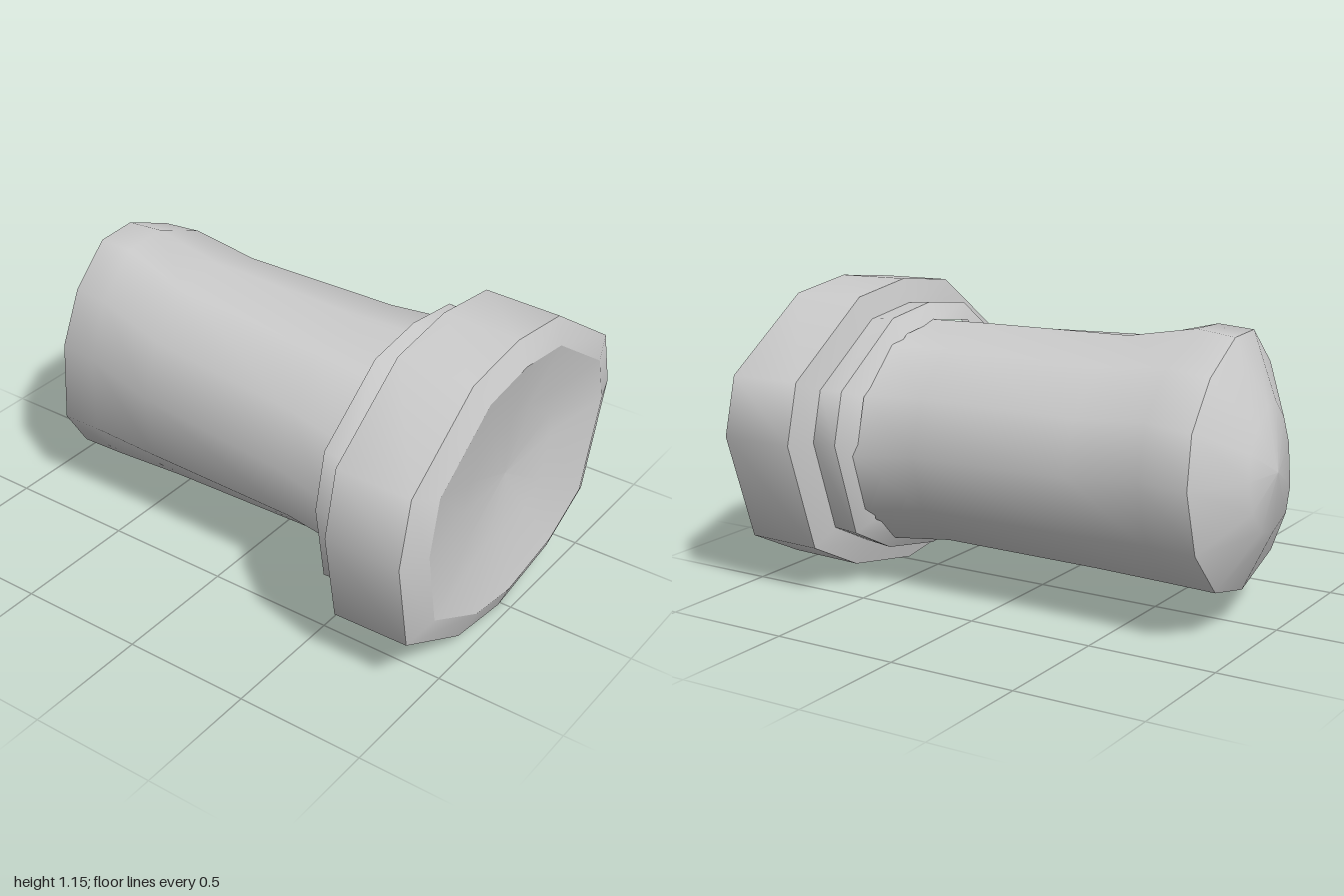
import * as THREE from 'three';

const SIDES = 12;
const material = new THREE.MeshStandardMaterial({ color: 0xcccccc });

// Irregular twelve-sided outline of the cap as [z, y], around its centre
const CAP_OUTLINE = [
  [0.02, 1.155], [0.31, 1.115], [0.67, 0.855], [0.73, 0.60], [0.665, 0.235], [0.31, 0.04],
  [0.025, 0.0], [-0.33, 0.065], [-0.585, 0.195], [-0.725, 0.625], [-0.665, 0.855], [-0.27, 1.12],
].map(([z, y]) => [z, y - 0.58]);

// Uneven outline of the shaft's far rim as [z, y], scaled to a unit circle
const RIM_OUTLINE = [
  [-0.01, 1.065], [0.17, 1.065], [0.33, 0.92], [0.42, 0.71], [0.42, 0.38], [0.30, 0.20],
  [0, 0.13], [-0.25, 0.19], [-0.42, 0.37], [-0.475, 0.61], [-0.42, 0.80], [-0.25, 0.96],
].map(([z, y]) => [(z + 0.0275) / 0.4475, (y - 0.6) / 0.47]);

// Cross-section following the cap outline
const capRing = (x, sz, sy = sz) =>
  CAP_OUTLINE.map(([z, y]) => [x, 0.58 + y * sy, z * sz]);

// Shaft cross-section from its extents: uneven 1 = rim outline, 0 = oval;
// tilted sections lean like the rounded end
function shaftRing(x, y0, y1, z0, z1, uneven, tilt = 0) {
  return RIM_OUTLINE.map(([rz, ry], i) => {
    const a = (i / SIDES) * Math.PI * 2;
    const s = THREE.MathUtils.lerp(Math.sin(a), rz, uneven);
    const c = THREE.MathUtils.lerp(Math.cos(a), ry, uneven);
    return [x + tilt * (s + 0.8 * c),
      (y0 + y1) / 2 + c * (y1 - y0) / 2,
      (z0 + z1) / 2 + s * (z1 - z0) / 2];
  });
}

const point = (x, y, z) => Array.from({ length: SIDES }, () => [x, y, z]);

// Skin over cross-sections ordered along +x; smooth within one skin
function loft(name, rings) {
  const index = [];
  for (let r = 0; r < rings.length - 1; r++) {
    for (let j = 0; j < SIDES; j++) {
      const a = r * SIDES + j, b = r * SIDES + (j + 1) % SIDES;
      index.push(a, b, b + SIDES, a, b + SIDES, a + SIDES);
    }
  }
  const g = new THREE.BufferGeometry();
  g.setAttribute('position', new THREE.Float32BufferAttribute(rings.flat(2), 3));
  g.setIndex(index);
  g.computeVertexNormals();
  const mesh = new THREE.Mesh(g, material);
  mesh.name = name;
  return mesh;
}

export function createModel() {
  const group = new THREE.Group();
  group.name = 'plug';

  // Shaft, slightly waisted, with a tilted rim at the far end
  const rim = shaftRing(-0.835, 0.13, 1.07, -0.475, 0.42, 1, 0.03);
  group.add(loft('shaft', [
    rim,
    shaftRing(-0.66, 0.13, 1.085, -0.465, 0.43, 0.85, 0.01),
    shaftRing(-0.37, 0.135, 1.03, -0.455, 0.445, 0.5),
    shaftRing(0.28, 0.14, 1.015, -0.47, 0.478, 0.15),
    shaftRing(0.5, 0.122, 1.01, -0.53, 0.512, 0),
    shaftRing(0.55, 0.12, 1.01, -0.54, 0.52, 0),
  ]));

  // Low dome closing the shaft
  group.add(loft('shaftEnd', [
    point(-1, 0.6, -0.03),
    shaftRing(-0.96, 0.37, 0.83, -0.23, 0.2, 1, 0.02),
    rim,
  ]));

  // Collar between shaft and cap
  const collarBack = capRing(0.535, 0.835, 0.855);
  const collarFront = capRing(0.635, 0.835, 0.835);
  group.add(loft('collarBevel', [capRing(0.495, 0.71, 0.74), collarBack]));
  group.add(loft('collar', [collarBack, collarFront]));

  // Wide cap with bevelled edges and a dished face
  const capBack = capRing(0.66, 1);
  const capFront = capRing(0.96, 1, 0.985);
  const faceEdge = capRing(1, 0.83, 0.825);
  group.add(loft('capBackBevel', [collarFront, capBack]));
  group.add(loft('capSide', [capBack, capFront]));
  group.add(loft('capFrontBevel', [capFront, faceEdge]));
  group.add(loft('capFace', [faceEdge, capRing(0.95, 0.42), point(0.935, 0.58, 0)]));

  return group;
}
